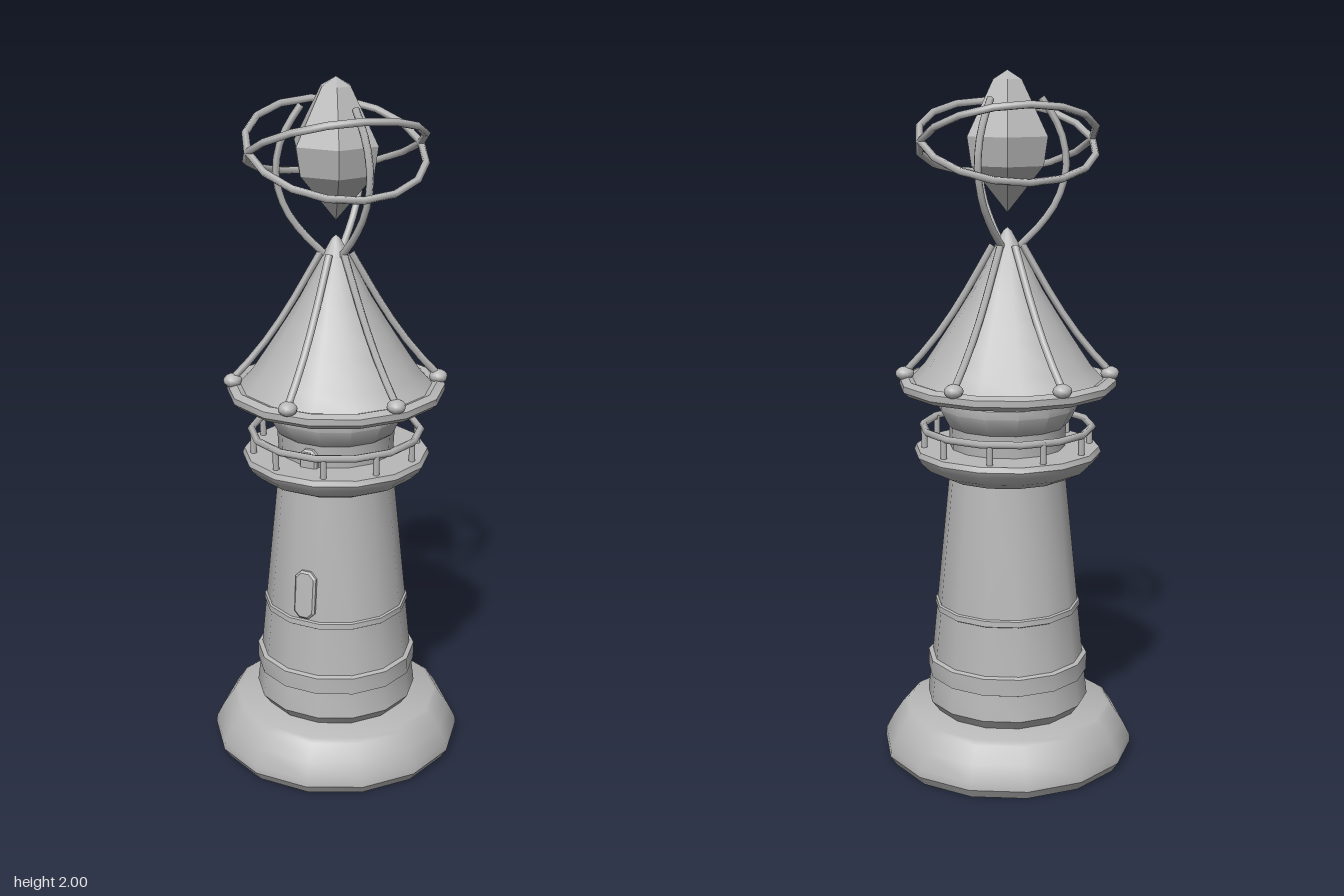
import * as THREE from 'three';
import { toCreasedNormals } from 'three/addons/utils/BufferGeometryUtils.js';

const SIDES = 14;

export function createModel() {
  const model = new THREE.Group();
  const stone = new THREE.MeshStandardMaterial({ color: 0xb8b8b8 });
  stone.name = 'grey stone';

  const add = (name, geometry, parent = model) => {
    const mesh = new THREE.Mesh(geometry, stone);
    mesh.name = name;
    parent.add(mesh);
    return mesh;
  };
  const group = (name) => {
    const g = new THREE.Group();
    g.name = name;
    model.add(g);
    return g;
  };
  // Turned part from [radius, height] pairs, bottom to top
  const turned = (profile, sides = SIDES, crease = 0.6) => toCreasedNormals(
    new THREE.LatheGeometry(profile.map(([r, y]) => new THREE.Vector2(r, y)), sides, Math.PI / 2), crease);
  // Bar bent in the vertical plane at a given angle, from [radius, height] pairs
  const bar = (path, angle, radius, steps, sides = 5) => {
    const points = path.map(([r, y]) => new THREE.Vector3(r * Math.sin(angle), y, r * Math.cos(angle)));
    return new THREE.TubeGeometry(new THREE.CatmullRomCurve3(points), steps, radius, sides);
  };
  const ring = (radius, tube, segments) =>
    new THREE.TorusGeometry(radius, tube, 5, segments).rotateX(Math.PI / 2);
  // Rounded upright panel with a bevelled face
  const panel = (w, h, depth) => {
    const c = Math.min(w, h) * 0.28, x = w / 2, y = h / 2;
    const shape = new THREE.Shape([
      [-x + c, -y], [x - c, -y], [x, -y + c], [x, y - c], [x - c, y], [-x + c, y], [-x, y - c], [-x, -y + c],
    ].map(([a, b]) => new THREE.Vector2(a, b)));
    return new THREE.ExtrudeGeometry(shape, {
      depth, bevelEnabled: true, bevelSize: 0.006, bevelThickness: 0.006, bevelSegments: 1,
    });
  };

  // Foot and tapering tower
  add('base', turned([[0, 0], [0.352, 0], [0.37, 0.028], [0.368, 0.05], [0.345, 0.095], [0.315, 0.14], [0.3, 0.15], [0, 0.15]]));
  add('tower', turned([
    [0, 0.14], [0.215, 0.15], [0.238, 0.18], [0.229, 0.255], [0.236, 0.258], [0.236, 0.308], [0.223, 0.312],
    [0.209, 0.455], [0.214, 0.458], [0.213, 0.474], [0.207, 0.477], [0.168, 0.865], [0, 0.865],
  ]));
  const towerWindow = add('towerWindow', panel(0.054, 0.132, 0.02));
  towerWindow.position.set(0, 0.553, 0.182);
  towerWindow.rotation.x = -0.1;

  // Gallery floor with railing
  add('gallery', turned([
    [0, 0.858], [0.185, 0.858], [0.235, 0.882], [0.262, 0.908], [0.271, 0.925], [0.265, 0.94], [0, 0.942],
  ]));
  const railing = group('railing');
  add('handrail', ring(0.245, 0.011, SIDES), railing).position.y = 0.999;
  for (let i = 0; i < 10; i++) {
    const a = i * Math.PI / 5;
    const post = add('railingPost', new THREE.CylinderGeometry(0.009, 0.009, 0.07, 6), railing);
    post.position.set(0.24 * Math.cos(a), 0.967, 0.24 * Math.sin(a));
  }

  // Lantern room flaring up to the roof
  add('lanternRoom', turned([
    [0, 0.93], [0.166, 0.93], [0.17, 1.005], [0.178, 1.012], [0.202, 1.058], [0.202, 1.082], [0.19, 1.095], [0, 1.12],
  ]));
  add('lanternDoor', panel(0.042, 0.06, 0.02)).position.set(0, 0.957, 0.155);

  // Roof with a thick eave
  add('roof', turned([
    [0, 1.1], [0.19, 1.1], [0.298, 1.105], [0.312, 1.118], [0.312, 1.136], [0.29, 1.145], [0.275, 1.14], [0.238, 1.18],
    [0.185, 1.26], [0.14, 1.33], [0.1, 1.395], [0.037, 1.515], [0.012, 1.56], [0, 1.57],
  ]));
  const ribs = group('roofRibs');
  for (let i = 0; i < 6; i++) {
    const a = i * Math.PI / 3;
    add('roofRib', bar([[0.042, 1.52], [0.146, 1.342], [0.222, 1.236], [0.295, 1.155]], a, 0.011, 6), ribs);
    const knob = add('ribKnob', new THREE.SphereGeometry(0.027, 10, 8), ribs);
    knob.position.set(0.294 * Math.sin(a), 1.152, 0.294 * Math.cos(a));
    knob.scale.y = 0.75;
  }

  // Three claws around the crystal, one at the back
  const claws = group('claws');
  for (let i = 0; i < 3; i++) {
    const a = Math.PI + i * Math.PI * 2 / 3;
    add('claw', bar([[0.025, 1.51], [0.09, 1.575], [0.138, 1.645], [0.163, 1.735], [0.15, 1.825], [0.12, 1.885], [0.093, 1.925]], a, 0.011, 12), claws);
  }

  // Faceted six-sided crystal
  add('crystal', turned([[0, 1.61], [0.115, 1.742], [0.128, 1.822], [0.045, 1.975], [0, 2]], 6, 0.02));

  // Two rings tilted in opposite directions
  const axis = new THREE.Vector3(1, 0, -1).normalize();
  for (const tilt of [0.42, -0.42]) {
    const orbit = add('orbitRing', ring(0.248, 0.011, 16));
    orbit.position.y = 1.81;
    orbit.quaternion.setFromAxisAngle(axis, tilt);
  }

  return model;
}
